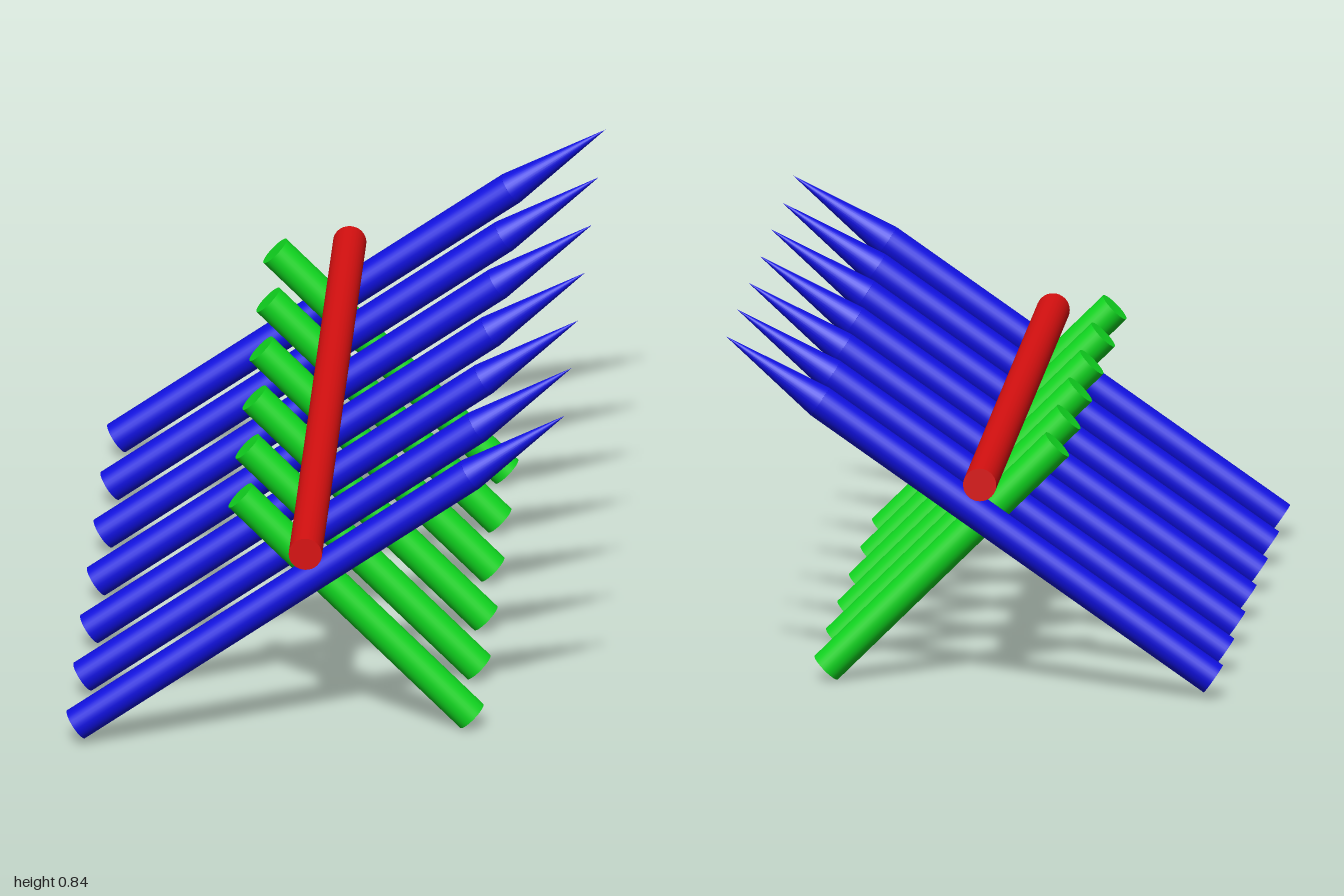
import * as THREE from 'three';

const RADIUS = 0.039;
const UP = new THREE.Vector3(0, 1, 0);
const paint = (color) => new THREE.MeshStandardMaterial({ color });

// Round log from point a to point b; the end radius may taper to a tip
function log(name, a, b, material, endRadius = RADIUS) {
  const axis = b.clone().sub(a);
  const geometry = new THREE.CylinderGeometry(endRadius, RADIUS, axis.length(), 32);
  const mesh = new THREE.Mesh(geometry, material);
  mesh.name = name;
  mesh.position.copy(a).add(b).multiplyScalar(0.5);
  mesh.quaternion.setFromUnitVectors(UP, axis.normalize());
  return mesh;
}

export function createModel() {
  const model = new THREE.Group();
  model.name = 'spikedBarricade';
  const blue = paint(0x1010e0);
  const green = paint(0x10d820);
  const red = paint(0xd81010);
  const point = (x, y, z = 0) => new THREE.Vector3(x, y, z);

  // Long horizontal rail resting in the crossings
  model.add(log('rail', point(-0.022, 0.515, -1), point(-0.022, 0.515, 1), red));

  // Seven sharpened stakes leaning towards +x
  for (let i = 0; i < 7; i++) {
    const stake = new THREE.Group();
    stake.name = 'stake';
    const shoulder = point(0.36, 0.69);
    stake.add(log('stakeShaft', point(-0.563, 0.044), shoulder, blue));
    stake.add(log('stakeTip', shoulder, point(0.581, 0.842), blue, 0));
    stake.position.z = (i - 3) * 0.305;
    model.add(stake);
  }

  // Six support legs crossing between the stakes
  for (let i = 0; i < 6; i++) {
    const z = 0.774 - i * 0.3127;
    model.add(log('supportLeg', point(0.356, 0.028, z), point(-0.186, 0.571, z), green));
  }

  return model;
}
